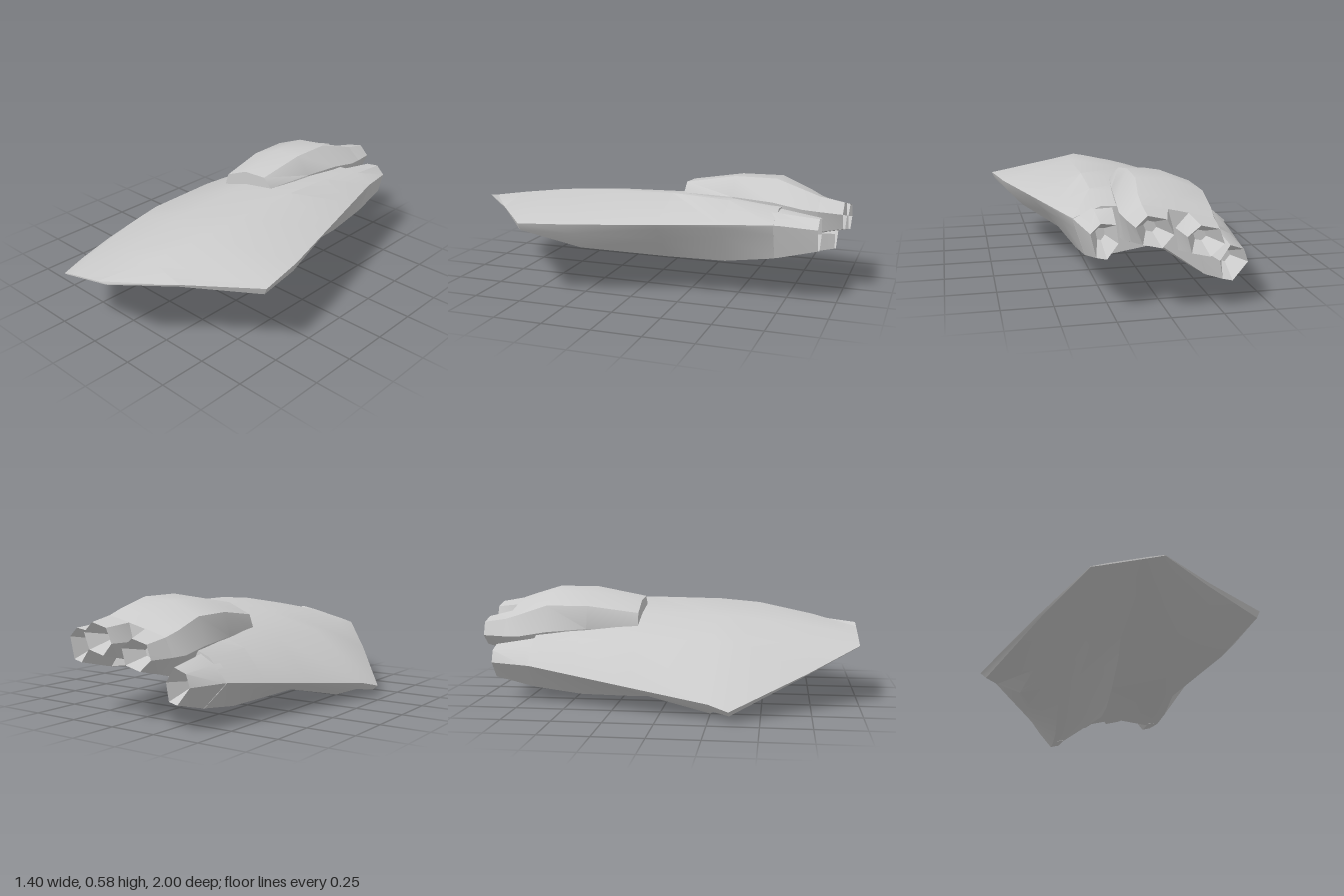
import * as THREE from 'three';
import { toCreasedNormals } from 'three/addons/utils/BufferGeometryUtils.js';

const grey = new THREE.MeshStandardMaterial({ color: 0xcccccc, side: THREE.DoubleSide });

// Skin over rings running front to back; each ring is counter-clockwise seen from the front.
function loft(name, rings, crease = 0.55) {
  const n = rings[0].length, pos = [];
  const tri = (...corners) => corners.forEach((c) => pos.push(...c));
  for (let i = 0; i < rings.length - 1; i++) {
    for (let j = 0; j < n; j++) {
      const k = (j + 1) % n;
      const a = rings[i][j], b = rings[i][k], c = rings[i + 1][j], d = rings[i + 1][k];
      tri(a, c, b);
      tri(b, c, d);
    }
  }
  const cap = (ring, back) => {
    const mid = [0, 1, 2].map((e) => ring.reduce((s, p) => s + p[e], 0) / n);
    ring.forEach((p, j) => {
      const q = ring[(j + 1) % n];
      if (back) tri(mid, q, p); else tri(mid, p, q);
    });
  };
  cap(rings[0], false);
  cap(rings[rings.length - 1], true);
  const geo = new THREE.BufferGeometry();
  geo.setAttribute('position', new THREE.Float32BufferAttribute(pos, 3));
  const mesh = new THREE.Mesh(toCreasedNormals(geo, crease), grey);
  mesh.name = name;
  return mesh;
}

// Full ring from a half section listed from top centre to bottom centre; skew shifts the sides in z.
function mirrorRing(z, half, skew = 0) {
  const place = (s) => ([x, y]) => [s * x, y, z + s * x * skew];
  return [...half.map(place(-1)), ...half.slice(1, -1).reverse().map(place(1))];
}

// Six-sided ring for one side.
function sideRing(z, pts, side) {
  const ring = pts.map(([x, y]) => [side * x, y, z]);
  return side > 0 ? ring : ring.reverse();
}

// Engine pod that ends in a recessed outlet.
function pod(name, side, stations, depth) {
  const rings = stations.map(([z, pts]) => sideRing(z, pts, side));
  const end = rings[rings.length - 1];
  const cx = end.reduce((s, p) => s + p[0], 0) / 6;
  const cy = end.reduce((s, p) => s + p[1], 0) / 6;
  rings.push(end.map(([x, y, z]) => [cx + (x - cx) * 0.35, cy + (y - cy) * 0.35, z + depth]));
  return loft(name, rings, 0.7);
}

export function createModel() {
  const model = new THREE.Group();
  model.name = 'spaceship';
  const ship = new THREE.Group();
  ship.name = 'bankedShip';
  ship.rotation.z = 0.232;
  ship.position.set(-0.03, 0.35, 0);
  model.add(ship);

  // Hull half sections: top centre, shoulder, rim, lower rim, chine, keel outer, keel inner, bottom centre
  const hull = [
    mirrorRing(1, [[0, 0.003], [0.1, 0.003], [0.175, 0], [0.174, -0.003], [0.14, -0.004], [0.11, -0.004], [0.08, -0.004], [0, -0.004]]),
    mirrorRing(0.75, [[0, 0.042], [0.22, 0.03], [0.417, -0.057], [0.405, -0.068], [0.295, -0.08], [0.19, -0.077], [0.145, -0.075], [0, -0.05]], 0.053),
    mirrorRing(0.435, [[0, 0.08], [0.31, 0.062], [0.72, -0.13], [0.697, -0.162], [0.46, -0.176], [0.28, -0.167], [0.22, -0.163], [0, -0.105]], 0.118),
    mirrorRing(0.25, [[0, 0.092], [0.33, 0.075], [0.673, -0.115], [0.645, -0.16], [0.54, -0.23], [0.33, -0.225], [0.26, -0.218], [0, -0.138]]),
    mirrorRing(-0.15, [[0, 0.102], [0.33, 0.081], [0.572, -0.084], [0.55, -0.105], [0.47, -0.155], [0.335, -0.245], [0.27, -0.24], [0, -0.143]]),
    mirrorRing(-0.45, [[0, 0.1], [0.33, 0.065], [0.495, -0.061], [0.482, -0.075], [0.435, -0.115], [0.335, -0.24], [0.27, -0.235], [0, -0.13]]),
    mirrorRing(-0.7, [[0, 0.09], [0.31, 0.042], [0.432, -0.041], [0.428, -0.05], [0.405, -0.09], [0.335, -0.205], [0.268, -0.2], [0, -0.09]]),
  ];
  ship.add(loft('hull', hull));

  // Raised engine housing along the back
  const housing = [
    mirrorRing(-0.16, [[0, 0.175], [0.14, 0.15], [0.177, 0.09], [0.17, 0.02], [0, 0.02]]),
    mirrorRing(-0.43, [[0, 0.22], [0.165, 0.195], [0.22, 0.085], [0.2, 0], [0, 0]]),
    mirrorRing(-0.65, [[0, 0.223], [0.17, 0.195], [0.24, 0.07], [0.19, -0.1], [0, -0.09]]),
    mirrorRing(-0.8, [[0, 0.16], [0.18, 0.145], [0.247, 0.045], [0.19, -0.08], [0, -0.075]]),
    mirrorRing(-0.88, [[0, 0.12], [0.175, 0.118], [0.235, 0.04], [0.18, -0.06], [0, -0.06]]),
  ];
  ship.add(loft('engineHousing', housing, 0.7));

  for (const side of [1, -1]) {
    const tag = side > 0 ? 'left' : 'right';
    // Outer pods continuing the keels
    ship.add(pod(tag + 'OuterPod', side, [
      [-0.66, [[0.35, 0.02], [0.25, 0.05], [0.2, -0.08], [0.27, -0.208], [0.335, -0.21], [0.435, -0.045]]],
      [-0.72, [[0.345, 0.018], [0.26, 0.04], [0.22, -0.08], [0.27, -0.197], [0.335, -0.2], [0.428, -0.042]]],
      [-0.91, [[0.345, 0.005], [0.275, 0.012], [0.245, -0.07], [0.28, -0.152], [0.33, -0.152], [0.38, -0.05]]],
    ], 0.12));
    // Paired centre outlets with a gap between them
    ship.add(pod(tag + 'CentreOutlet', side, [
      [-0.82, [[0.175, 0.13], [0.05, 0.135], [0.005, 0.04], [0.04, -0.07], [0.175, -0.07], [0.238, 0.04]]],
      [-0.88, [[0.175, 0.118], [0.05, 0.12], [0.006, 0.04], [0.045, -0.06], [0.18, -0.06], [0.235, 0.04]]],
      [-1, [[0.17, 0.097], [0.08, 0.097], [0.032, 0.035], [0.07, -0.035], [0.16, -0.035], [0.21, 0.035]]],
    ], 0.1));
  }
  return model;
}
